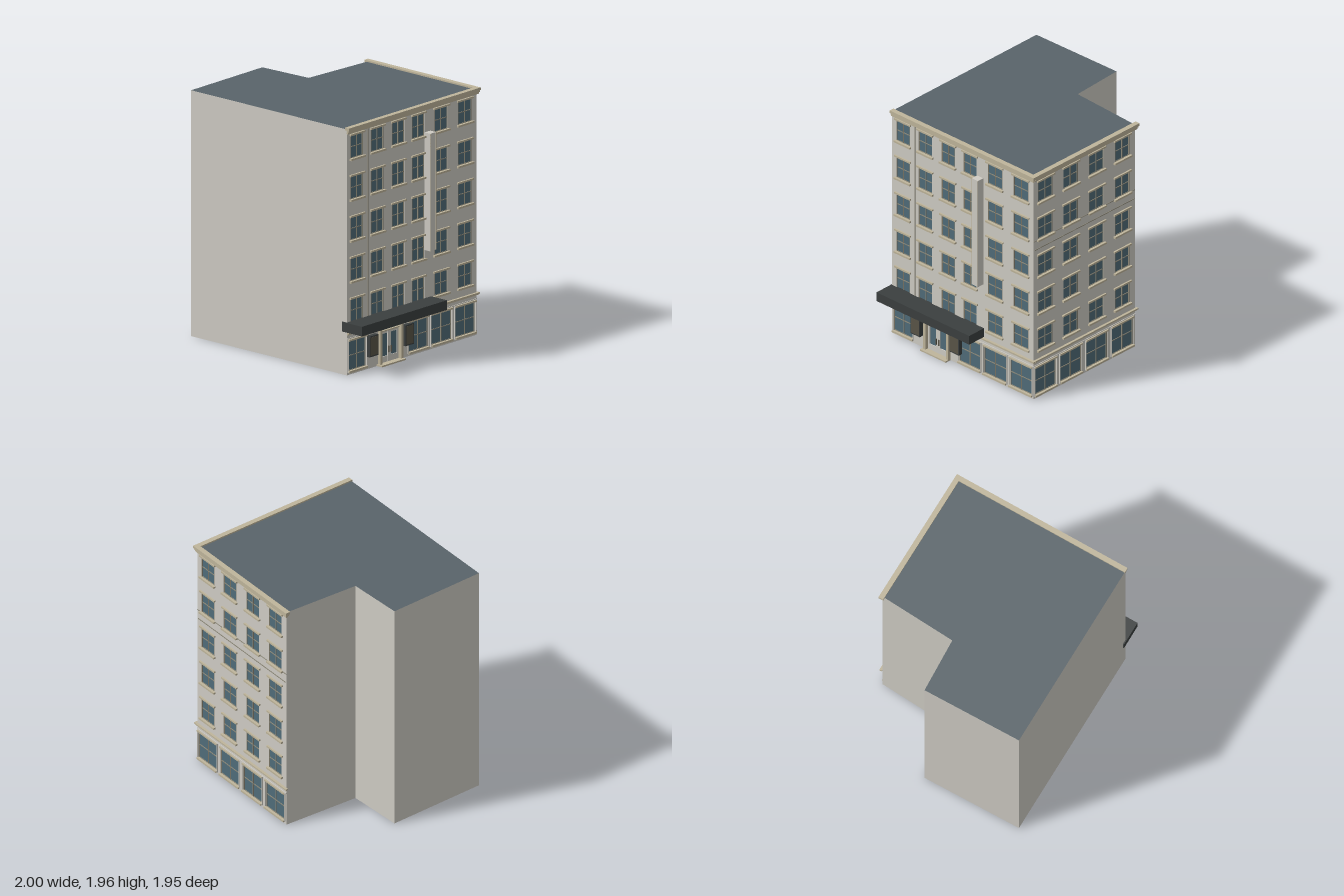
import * as THREE from 'three';

const mat = (color) => new THREE.MeshStandardMaterial({ color, side: THREE.DoubleSide });

export function createModel() {
  const wallMat = mat(0xcfccc4), trim = mat(0xbfb59b), sash = mat(0x8c8878), glass = mat(0x506c79);
  const roofMat = mat(0x59646a), dark = mat(0x3b3f3f), metal = mat(0x5a5548);
  const model = new THREE.Group();
  model.name = 'cornerTheatreBuilding';
  const roofY = 1.945;

  // Footprint corners as [x, z], starting at the left end of the main facade
  const plan = [[-0.39, 0.82], [0.97, 0.25], [0.55, -0.78], [-0.05, -0.57], [-0.245, -0.98], [-1, -0.65]];

  // Box given by its extents along the wall (u), height (y) and outward (n)
  function box(parent, name, material, u0, u1, y0, y1, n0, n1) {
    const mesh = new THREE.Mesh(new THREE.BoxGeometry(u1 - u0, y1 - y0, n1 - n0), material);
    mesh.position.set((u0 + u1) / 2, (y0 + y1) / 2, (n0 + n1) / 2);
    mesh.name = name;
    parent.add(mesh);
    return mesh;
  }

  // Group whose x runs along a wall and whose z points outward
  function wallGroup(i, name) {
    const [ax, az] = plan[i], [bx, bz] = plan[(i + 1) % plan.length];
    const group = new THREE.Group();
    group.name = name;
    group.position.set(ax, 0, az);
    group.rotation.y = Math.atan2(az - bz, bx - ax);
    group.userData.length = Math.hypot(bx - ax, bz - az);
    model.add(group);
    return group;
  }

  function rectPath(u0, u1, y0, y1) {
    return new THREE.Path([[u0, y0], [u0, y1], [u1, y1], [u1, y0]].map(([u, y]) => new THREE.Vector2(u, y)));
  }

  // Pane with border, cross bars, sill and lintel
  function addWindow(parent, name, [u0, u1, y0, y1], overhang) {
    const win = new THREE.Group();
    win.name = name;
    parent.add(win);
    const um = (u0 + u1) / 2, ym = (y0 + y1) / 2, b = 0.006;
    box(win, 'pane', glass, u0, u1, y0, y1, -0.011, -0.008);
    for (const u of [u0, um - b / 2, u1 - b]) box(win, 'stile', sash, u, u + b, y0, y1, -0.009, -0.002);
    for (const y of [y0, ym - b / 2, y1 - b]) box(win, 'rail', sash, u0, u1, y, y + b, -0.009, -0.003);
    box(win, 'sill', trim, u0 - overhang, u1 + overhang, y0 - 0.013, y0 + 0.002, -0.004, 0.018);
    box(win, 'lintel', trim, u0 - overhang, u1 + overhang, y1 - 0.002, y1 + 0.012, -0.004, 0.014);
  }

  // Street facade: pierced wall, five rows of windows and shop bays
  function streetFacade(i, name, columns, bays, door) {
    const g = wallGroup(i, name), L = g.userData.length;
    const shape = new THREE.Shape([[0, 0], [L, 0], [L, roofY], [0, roofY]].map(([u, y]) => new THREE.Vector2(u, y)));
    const windows = [];
    for (let row = 0; row < 5; row++) {
      const y = 0.502 + row * 0.3235;
      for (const [u, w] of columns) windows.push([u - w / 2, u + w / 2, y - 0.092, y + 0.092]);
    }
    const shops = bays.map(([u0, u1]) => [u0, u1, 0.03, 0.268]);
    for (const r of [...windows, ...shops]) shape.holes.push(rectPath(...r));
    if (door) shape.holes.push(rectPath(...door));
    const wall = new THREE.Mesh(new THREE.ExtrudeGeometry(shape, { depth: 0.012, bevelEnabled: false }), wallMat);
    wall.position.z = -0.012;
    wall.name = 'piercedWall';
    g.add(wall);
    windows.forEach((r) => addWindow(g, 'upperWindow', r, 0.014));
    shops.forEach((r) => addWindow(g, 'shopWindow', r, 0.006));

    // Slim pilasters beside the shop bays
    for (const [u0, u1] of bays) {
      for (const u of [u0 - 0.011, u1 + 0.003]) box(g, 'pilaster', wallMat, u, u + 0.008, 0.02, 0.28, 0, 0.008);
    }
    // Shopfront cornice and stepped roof cornice
    box(g, 'shopFrieze', wallMat, 0, L, 0.283, 0.29, 0, 0.006);
    box(g, 'shopCorniceLower', trim, 0, L + 0.01, 0.318, 0.326, 0, 0.012);
    box(g, 'shopCornice', trim, 0, L + 0.018, 0.326, 0.338, 0, 0.02);
    box(g, 'corniceLower', trim, 0, L + 0.012, 1.908, 1.922, -0.004, 0.014);
    box(g, 'corniceMiddle', trim, 0, L + 0.018, 1.922, 1.936, -0.01, 0.019);
    box(g, 'corniceTop', trim, -0.004, L + 0.024, 1.936, 1.957, -0.017, 0.024);
    return g;
  }

  const front = streetFacade(0, 'frontFacade',
    [[0.114, 0.14], [0.347, 0.14], [0.585, 0.14], [0.813, 0.138], [1.073, 0.152], [1.343, 0.155]],
    [[0.018, 0.217], [0.7, 0.92], [0.96, 1.19], [1.232, 1.458]],
    [0.37, 0.595, 0.012, 0.3]);
  const side = streetFacade(1, 'sideFacade',
    [[0.13, 0.16], [0.407, 0.16], [0.69, 0.16], [0.972, 0.16]],
    [0.13, 0.407, 0.69, 0.972].map((u) => [u - 0.115, u + 0.115]));
  box(side, 'stringCourse', sash, 0.01, 1.1, 1.298, 1.304, 0, 0.004);
  box(side, 'stringCourse', sash, 0.0, 1.11, 1.376, 1.381, 0, 0.004);

  // Entrance: projecting frame, two glazed leaves, handles and step
  const entrance = new THREE.Group();
  entrance.name = 'entrance';
  front.add(entrance);
  box(entrance, 'step', trim, 0.34, 0.61, 0, 0.012, -0.012, 0.055);
  for (const u of [0.352, 0.588]) {
    box(entrance, 'doorPost', trim, u, u + 0.022, 0.012, 0.318, -0.012, 0.03);
  }
  box(entrance, 'doorHead', trim, 0.352, 0.61, 0.296, 0.318, -0.012, 0.034);
  box(entrance, 'transomBar', trim, 0.374, 0.588, 0.258, 0.268, -0.01, 0.012);
  box(entrance, 'transomPane', glass, 0.374, 0.588, 0.268, 0.296, -0.008, -0.004);
  for (const s of [-1, 1]) {
    const c = 0.481 + s * 0.053;
    const leaf = new THREE.Group();
    leaf.name = 'doorLeaf';
    entrance.add(leaf);
    box(leaf, 'doorPane', glass, c - 0.05, c + 0.05, 0.012, 0.258, -0.008, -0.004);
    for (const d of [-0.052, 0.034]) box(leaf, 'doorStile', wallMat, c + d, c + d + 0.018, 0.012, 0.258, -0.01, 0.004);
    box(leaf, 'bottomRail', wallMat, c - 0.05, c + 0.05, 0.012, 0.06, -0.01, 0.003);
    box(leaf, 'topRail', wallMat, c - 0.05, c + 0.05, 0.24, 0.258, -0.01, 0.003);
    const h = 0.481 + s * 0.014;
    box(leaf, 'handle', metal, h - 0.004, h + 0.004, 0.085, 0.135, 0.004, 0.014);
  }

  // Poster cases on either side of the entrance
  for (const u of [0.222, 0.63]) {
    box(front, 'posterCase', dark, u, u + 0.098, 0.1, 0.265, 0, 0.035);
    box(front, 'posterPanel', metal, u + 0.008, u + 0.09, 0.11, 0.255, 0.034, 0.037);
  }

  // Canopy, which runs through the wall
  box(front, 'canopy', dark, -0.01, 0.957, 0.342, 0.418, -0.042, 0.163);

  // Tall blade sign with edge strips, and downpipe
  box(front, 'verticalSign', wallMat, 0.885, 0.95, 0.8, 1.73, 0, 0.058);
  for (const u of [0.885, 0.946]) box(front, 'signEdge', trim, u, u + 0.004, 0.8, 1.73, 0.056, 0.061);
  box(front, 'downpipe', sash, 0.235, 0.241, 0.34, 1.91, 0, 0.005);

  // Plain rear and party walls; the shell is open underneath
  ['rearWall', 'notchWall', 'rearWingWall', 'partyWall'].forEach((name, k) => {
    const g = wallGroup(k + 2, name), L = g.userData.length;
    const wall = new THREE.Mesh(new THREE.PlaneGeometry(L, roofY), wallMat);
    wall.position.set(L / 2, roofY / 2, 0);
    wall.name = name + 'Face';
    g.add(wall);
  });

  // Flat roof
  const roofShape = new THREE.Shape(plan.map(([x, z]) => new THREE.Vector2(x, -z)));
  const roof = new THREE.Mesh(new THREE.ShapeGeometry(roofShape), roofMat);
  roof.rotation.x = -Math.PI / 2;
  roof.position.y = roofY;
  roof.name = 'roof';
  model.add(roof);

  return model;
}
